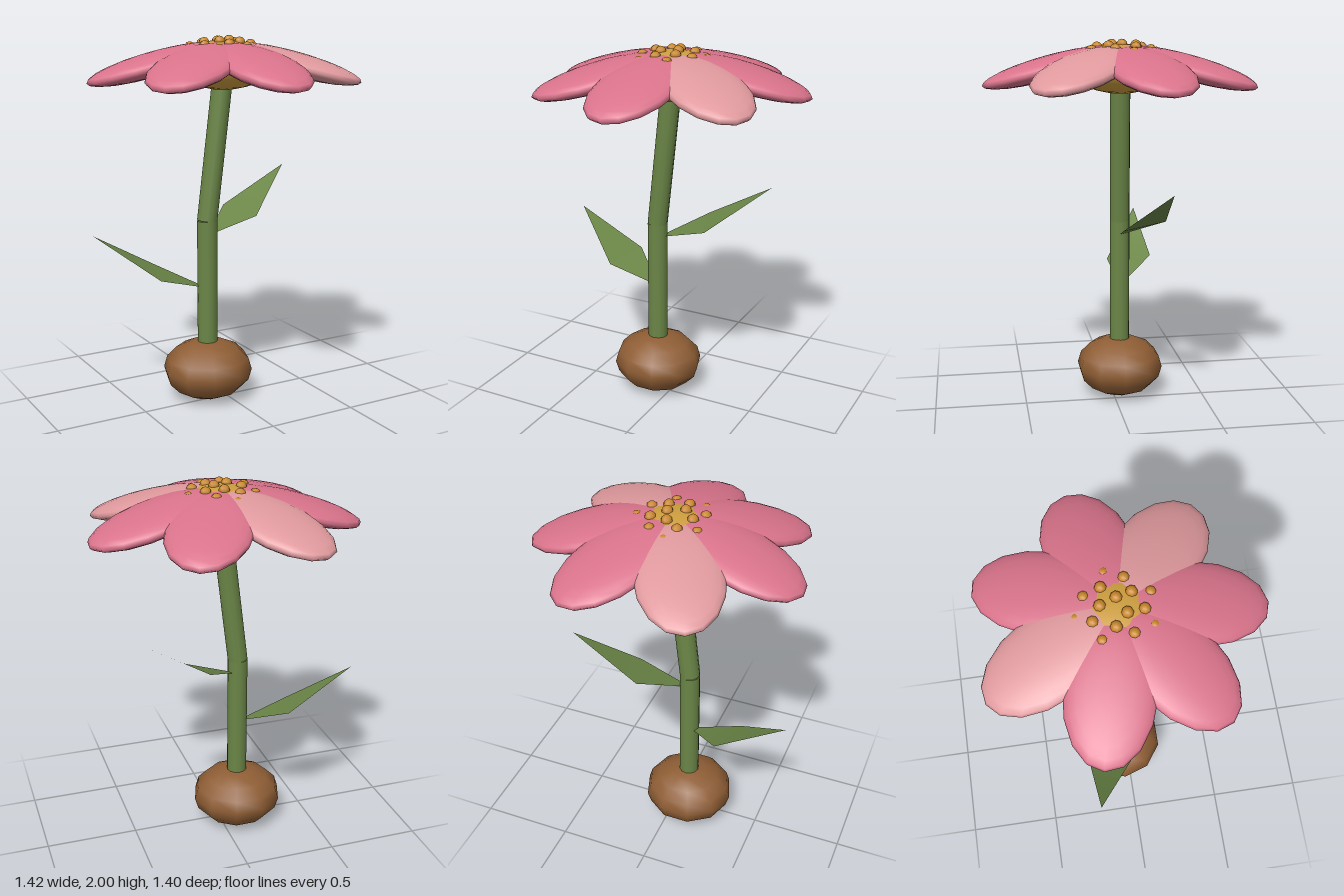
import * as THREE from 'three';

const material = (name, color, side = THREE.FrontSide) => {
  const m = new THREE.MeshStandardMaterial({ color, side });
  m.name = name;
  return m;
};

export function createModel() {
  const pink = material('rose pink', 0xd9738b);
  const palePink = material('pale pink', 0xdf999d);
  const green = material('stem green', 0x6b8647);
  const leafGreen = material('leaf green', 0x6b8647, THREE.DoubleSide);
  const brown = material('bulb brown', 0x8f5e35);
  const yellow = material('disc yellow', 0xcf9f40);
  const amber = material('stamen amber', 0xc8872c);

  const model = new THREE.Group();
  model.name = 'flower';
  const add = (name, geometry, mat, parent = model) => {
    const mesh = new THREE.Mesh(geometry, mat);
    mesh.name = name;
    parent.add(mesh);
    return mesh;
  };

  // Bulb at the foot of the stem
  const stemX = -0.095, stemZ = -0.04;
  const bulb = add('bulb', new THREE.SphereGeometry(1, 10, 8), brown);
  bulb.scale.set(0.25, 0.167, 0.242);
  bulb.position.set(stemX, 0.167, stemZ);

  // Stem in two straight sections, the upper one leaning to the flower head
  const section = (name, from, to) => {
    const dir = to.clone().sub(from);
    const mesh = add(name, new THREE.CylinderGeometry(0.055, 0.055, dir.length(), 12), green);
    mesh.position.copy(from).addScaledVector(dir, 0.5);
    mesh.quaternion.setFromUnitVectors(new THREE.Vector3(0, 1, 0), dir.normalize());
  };
  const bend = new THREE.Vector3(stemX, 1.01, stemZ);
  section('lowerStem', new THREE.Vector3(stemX, 0.25, stemZ), bend);
  section('upperStem', bend, new THREE.Vector3(0.0, 1.82, -0.027));

  // Two mirrored leaves: diamonds folded across the middle
  const leaf = (name, mirror, y) => {
    const geometry = new THREE.BufferGeometry();
    const points = [
      [0, 0, 0],             // base
      [0.295, 0.085, 0.028], // front corner
      [0.222, 0.115, -0.215],// back corner
      [0.595, 0.325, -0.18], // tip
    ];
    geometry.setAttribute('position', new THREE.Float32BufferAttribute(
      points.flatMap(([px, py, pz]) => [px * mirror, py, pz]), 3));
    geometry.setIndex(mirror > 0 ? [0, 1, 2, 1, 3, 2] : [0, 2, 1, 1, 2, 3]);
    geometry.computeVertexNormals();
    add(name, geometry, leafGreen).position.set(stemX, y, stemZ);
  };
  leaf('leftLeaf', 1, 0.925);
  leaf('rightLeaf', -1, 0.63);

  // Flower head
  const head = new THREE.Group();
  head.name = 'flowerHead';
  head.position.z = -0.03;
  model.add(head);

  // Seven drooping petals around the disc, two of them paler
  const petalGeometry = new THREE.SphereGeometry(1, 16, 12);
  petalGeometry.scale(0.218, 0.062, 0.36);
  petalGeometry.rotateX(THREE.MathUtils.degToRad(15));
  petalGeometry.translate(0, 1.854, 0.38);
  for (let i = 0; i < 7; i++) {
    const petal = add('petal', petalGeometry, i === 1 || i === 4 ? palePink : pink, head);
    petal.rotation.y = (i / 7) * Math.PI * 2;
  }

  // Domed centre disc
  const discRadius = 0.26, discHeight = 0.13, discY = 1.845;
  const disc = add('disc', new THREE.SphereGeometry(1, 16, 12), yellow, head);
  disc.scale.set(discRadius, discHeight, discRadius);
  disc.position.y = discY;

  // Stamens in a golden-angle spiral over the dome
  const stamenGeometry = new THREE.SphereGeometry(0.03, 8, 6);
  for (let i = 0; i < 18; i++) {
    const r = 0.05 * Math.sqrt(i + 0.5);
    const a = i * THREE.MathUtils.degToRad(137.508);
    const y = discY + discHeight * Math.sqrt(1 - (r / discRadius) ** 2);
    add('stamen', stamenGeometry, amber, head)
      .position.set(r * Math.cos(a), y - 0.003, r * Math.sin(a));
  }

  return model;
}
